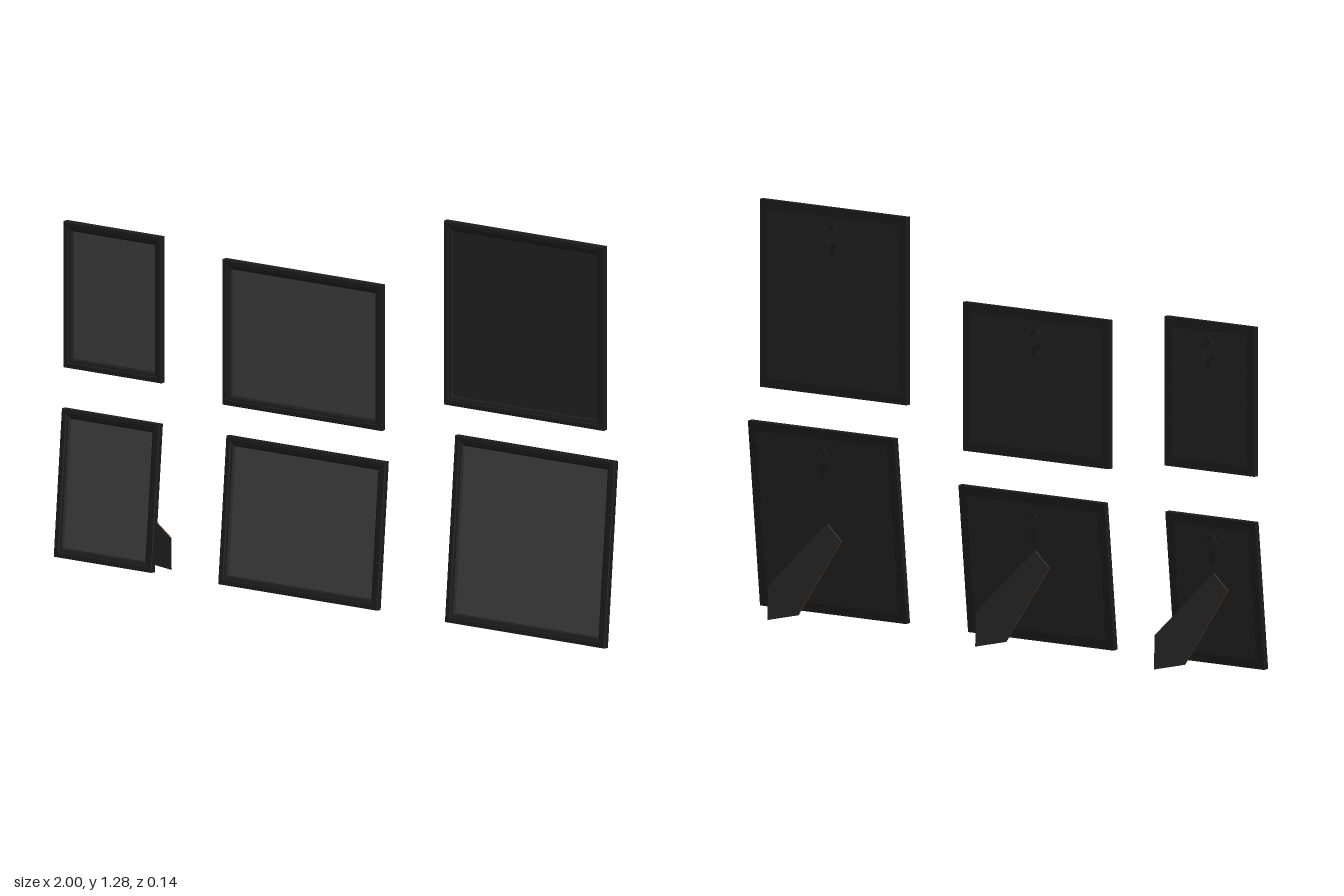
import * as THREE from 'three';

const mat = (name, color, extra = {}) => {
  const m = new THREE.MeshStandardMaterial({ color, ...extra });
  m.name = name;
  return m;
};
const frameBlack = mat('frame black', 0x1b1b1b);
const backBlack = mat('backing black', 0x212121);
const pictureGrey = mat('picture grey', 0x3c3c3c);
const boardBrown = mat('fibreboard brown', 0x66492f);

const DEPTH = 0.02;
const BORDER = 0.03;

function add(parent, geometry, material, name, x = 0, y = 0, z = 0) {
  const mesh = new THREE.Mesh(geometry, material);
  mesh.name = name;
  mesh.position.set(x, y, z);
  parent.add(mesh);
  return mesh;
}

// Stepped moulding profile (inset, z) swept round a mitred rectangle
const PROFILE = [
  [0, -DEPTH], [0, -0.002], [0.002, 0], [0.015, 0], [0.018, -0.004],
  [0.024, -0.005], [BORDER, -0.011], [BORDER, -DEPTH], [0, -DEPTH],
];
function mouldingGeometry(w, h) {
  const corners = [[-1, -1], [1, -1], [1, 1], [-1, 1]];
  const point = (k, [inset, z]) => {
    const [sx, sy] = corners[k % 4];
    return [sx * (w / 2 - inset), sy * (h / 2 - inset), z];
  };
  const pos = [];
  for (let k = 0; k < 4; k++) {
    for (let j = 0; j < PROFILE.length - 1; j++) {
      const a = point(k, PROFILE[j]), b = point(k + 1, PROFILE[j]);
      const c = point(k + 1, PROFILE[j + 1]), d = point(k, PROFILE[j + 1]);
      pos.push(...a, ...b, ...c, ...a, ...c, ...d);
    }
  }
  const g = new THREE.BufferGeometry();
  g.setAttribute('position', new THREE.Float32BufferAttribute(pos, 3));
  g.computeVertexNormals();
  return g;
}

// Oval hanging ring with a small fixing plate
function addHanger(parent, y) {
  const hanger = new THREE.Group();
  hanger.name = 'hanger';
  hanger.position.set(0, y, -DEPTH - 0.002);
  parent.add(hanger);
  const ring = add(hanger, new THREE.TorusGeometry(0.02, 0.003, 6, 24), frameBlack, 'hangerRing', 0, 0.012);
  ring.scale.set(1, 1.5, 1);
  add(hanger, new THREE.BoxGeometry(0.022, 0.04, 0.004), frameBlack, 'hangerPlate', 0, -0.026);
  const screw = add(hanger, new THREE.CylinderGeometry(0.006, 0.006, 0.006, 12), frameBlack, 'hangerScrew', 0, -0.03);
  screw.rotation.x = Math.PI / 2;
}

// Small retaining tabs along the four back edges
function addTabs(parent, w, h) {
  const n = 5;
  for (let i = 0; i < n; i++) {
    const t = (i + 0.5) / n - 0.5;
    for (const s of [-1, 1]) {
      add(parent, new THREE.BoxGeometry(0.014, 0.005, 0.003), frameBlack, 'backTab',
        t * w, s * (h / 2 - 0.026), -DEPTH - 0.001);
      add(parent, new THREE.BoxGeometry(0.005, 0.014, 0.003), frameBlack, 'backTab',
        s * (w / 2 - 0.026), t * h, -DEPTH - 0.001);
    }
  }
}

// Five-sided easel leg hinged diagonally on the back
function addStand(parent, bottom) {
  const outline = [[0.036, 0], [-0.036, 0], [-0.105, -0.26], [-0.046, -0.347], [0.03, -0.275]];
  const shape = new THREE.Shape(outline.map(([x, y]) => new THREE.Vector2(x, y)));
  const leg = add(parent, new THREE.ExtrudeGeometry(shape, { depth: 0.005, bevelEnabled: false }),
    [backBlack, boardBrown], 'standLeg', -0.03, bottom + 0.262, -DEPTH - 0.005);
  leg.rotation.set(0.33, 0, 0.765, 'ZYX');
}

function buildFrame(name, w, h, hasPicture, hasStand) {
  const frame = new THREE.Group();
  frame.name = name;
  add(frame, mouldingGeometry(w, h), frameBlack, 'moulding');
  const iw = w - 2 * BORDER, ih = h - 2 * BORDER;
  add(frame, new THREE.BoxGeometry(iw, ih, 0.006), backBlack, 'backBoard', 0, 0, -0.0165);
  if (hasPicture) add(frame, new THREE.BoxGeometry(iw, ih, 0.002), pictureGrey, 'picture', 0, 0, -0.0122);
  addHanger(frame, h / 2 - 0.1);
  addTabs(frame, w, h);
  if (hasStand) addStand(frame, -h / 2);
  return frame;
}

export function createModel() {
  const model = new THREE.Group();
  model.name = 'pictureFrames';

  // Wall frames: name, x0, x1, y0, y1, picture
  const wall = [
    ['smallWallFrame', -0.98, -0.625, 0.617, 1.078, true],
    ['wideWallFrame', -0.403, 0.175, 0.583, 1.042, true],
    ['squareWallFrame', 0.4, 0.98, 0.7, 1.28, false],
  ];
  for (const [name, x0, x1, y0, y1, picture] of wall) {
    const f = buildFrame(name, x1 - x0, y1 - y0, picture, false);
    f.position.set((x0 + x1) / 2, (y0 + y1) / 2, 0.043);
    model.add(f);
  }

  // Leaning table frames: name, x0, x1, height
  const table = [
    ['smallTableFrame', -1, -0.645, 0.461],
    ['wideTableFrame', -0.403, 0.175, 0.461],
    ['squareTableFrame', 0.42, 1, 0.58],
  ];
  const tilt = 0.1;
  for (const [name, x0, x1, h] of table) {
    const f = buildFrame(name, x1 - x0, h, true, true);
    f.rotation.x = -tilt;
    f.position.set((x0 + x1) / 2, 0.022 + h / 2 * Math.cos(tilt), 0.068 - h / 2 * Math.sin(tilt));
    model.add(f);
  }
  return model;
}
